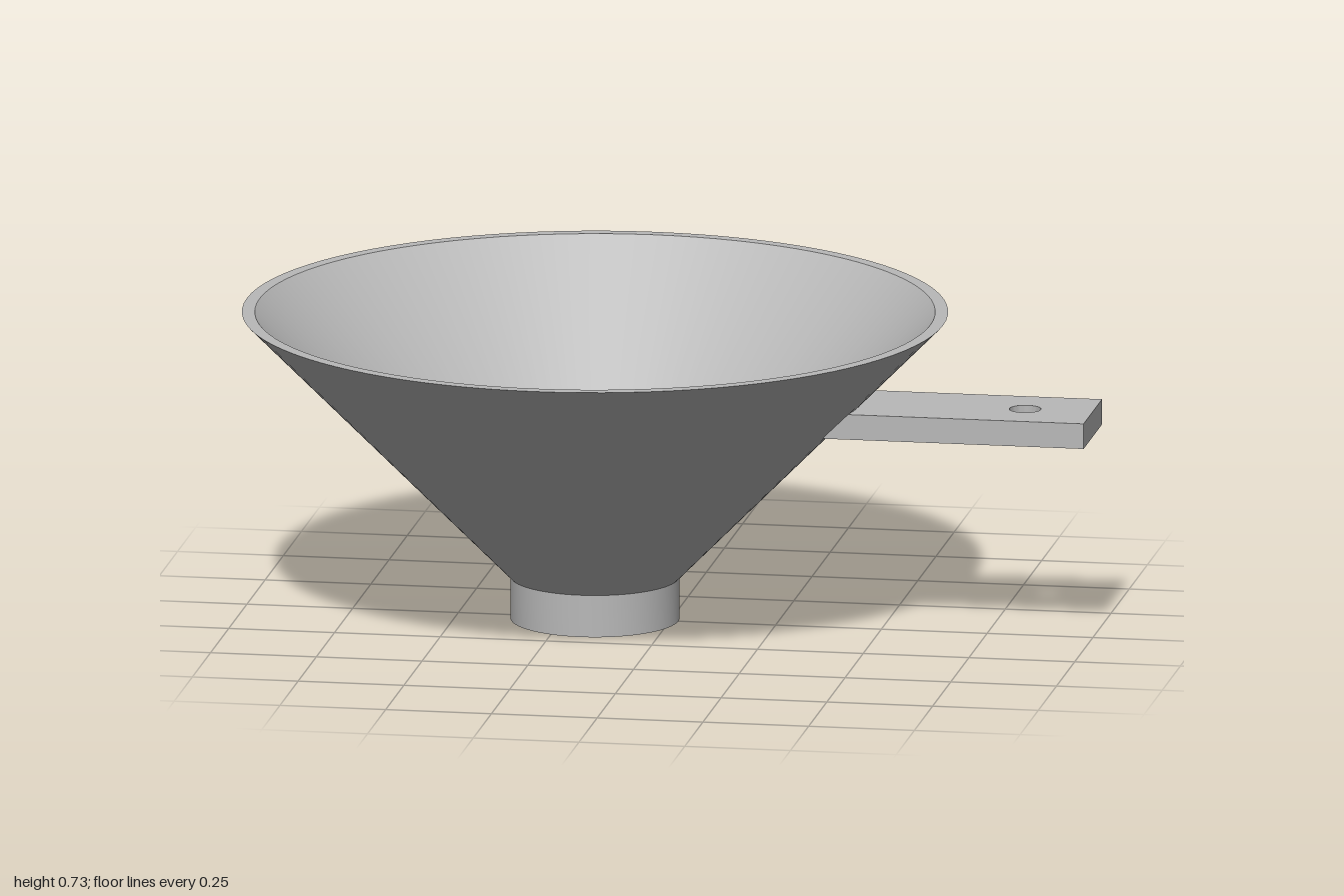
import * as THREE from 'three';
import { toCreasedNormals } from 'three/addons/utils/BufferGeometryUtils.js';

const AXIS_X = -0.177; // funnel axis, offset so that funnel and handle are centred together

export function createModel() {
  const grey = new THREE.MeshStandardMaterial({ color: 0xb8b8b8 });
  grey.name = 'grey';
  const model = new THREE.Group();
  model.name = 'funnel';

  const add = (name, geometry, x, y) => {
    const mesh = new THREE.Mesh(toCreasedNormals(geometry, 0.5), grey);
    mesh.name = name;
    mesh.position.set(x, y, 0);
    model.add(mesh);
  };

  // Cone and spout: one closed wall profile, outside upward then inside downward
  const wall = [
    [0.168, 0], [0.197, 0], [0.197, 0.1], [0.823, 0.733],
    [0.793, 0.733], [0.168, 0.1], [0.168, 0],
  ].map(([r, y]) => new THREE.Vector2(r, y));
  add('coneAndSpout', new THREE.LatheGeometry(wall, 96), AXIS_X, 0);

  // Flat handle passing through the cone wall, with a hanging hole
  const outline = new THREE.Shape([
    new THREE.Vector2(0.335, -0.127), new THREE.Vector2(1, -0.127),
    new THREE.Vector2(1, 0.127), new THREE.Vector2(0.335, 0.127),
  ]);
  outline.holes.push(new THREE.Path().absarc(0.84, 0, 0.037, 0, Math.PI * 2, true));
  const handle = new THREE.ExtrudeGeometry(outline, {
    depth: 0.06, bevelEnabled: false, curveSegments: 32,
  });
  handle.rotateX(-Math.PI / 2);
  add('handle', handle, 0, 0.481);

  return model;
}
